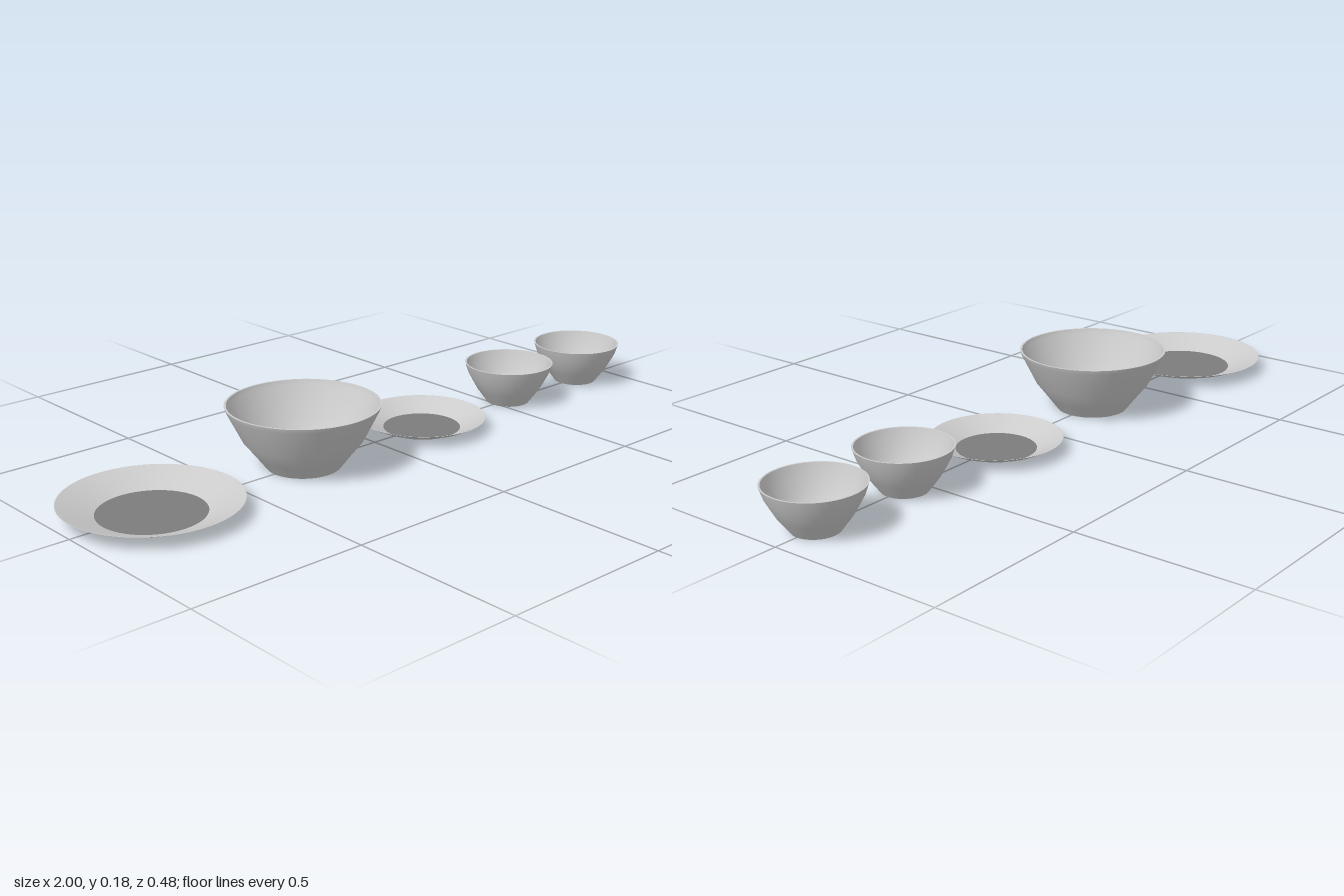
import * as THREE from 'three';
import { mergeGeometries } from 'three/addons/utils/BufferGeometryUtils.js';

const SEGMENTS = 64;
const china = new THREE.MeshStandardMaterial({ color: 0xcccccc });
const darkGlaze = new THREE.MeshStandardMaterial({ color: 0x7c7c7c });

const lathe = (points) =>
  new THREE.LatheGeometry(points.map(([r, y]) => new THREE.Vector2(r, y)), SEGMENTS);

// Separate lathes for each band keep the foot and rim edges crisp.
function shell(outer, inner) {
  return mergeGeometries([
    lathe([[0, outer[0][1]], outer[0]]),       // underside
    lathe(outer),                              // outer wall, foot to rim
    lathe([outer[outer.length - 1], inner[0]]), // lip
    lathe(inner),                              // inner wall, rim downwards
  ]);
}

function addMesh(parent, name, geometry, material) {
  const mesh = new THREE.Mesh(geometry, material);
  mesh.name = name;
  parent.add(mesh);
}

// Shallow plate with a dark flat centre
function plate(name, x, radius, height, foot, well) {
  const g = new THREE.Group();
  g.name = name;
  g.position.x = x;
  const mid = foot + (radius - foot) * 0.63;
  const floor = 0.004;
  const outer = [[foot, 0], [mid, height * 0.56], [radius, height]];
  const inner = [[radius - 0.002, height], [mid, height * 0.56 + 0.004], [well, floor]];
  addMesh(g, 'plateBody', shell(outer, inner), china);
  addMesh(g, 'plateCentre', lathe([[well, floor], [0, floor]]), darkGlaze);
  return g;
}

// Flared bowl: the inner wall follows the outer one and runs into the floor
function bowl(name, x, outer, wall) {
  const g = new THREE.Group();
  g.name = name;
  g.position.x = x;
  const inner = outer.map(([r, y], i) =>
    [r - wall, i === 0 ? wall : y]).reverse();
  inner.push([outer[0][0] * 0.5, wall * 0.8], [0, wall * 0.8]);
  addMesh(g, 'bowlBody', shell(outer, inner), china);
  return g;
}

export function createModel() {
  const model = new THREE.Group();
  model.name = 'tableware';

  const large = [[0.103, 0], [0.132, 0.038], [0.167, 0.082], [0.209, 0.166], [0.213, 0.178]];
  const small = [[0.064, 0], [0.095, 0.042], [0.108, 0.065], [0.123, 0.093], [0.133, 0.123]];

  model.add(
    plate('largePlate', -0.76, 0.24, 0.04, 0.134, 0.144),
    bowl('largeBowl', -0.262, large, 0.006),
    plate('smallPlate', 0.185, 0.185, 0.037, 0.104, 0.112),
    bowl('smallBowlInner', 0.553, small, 0.005),
    bowl('smallBowlOuter', 0.867, small, 0.005),
  );
  return model;
}
